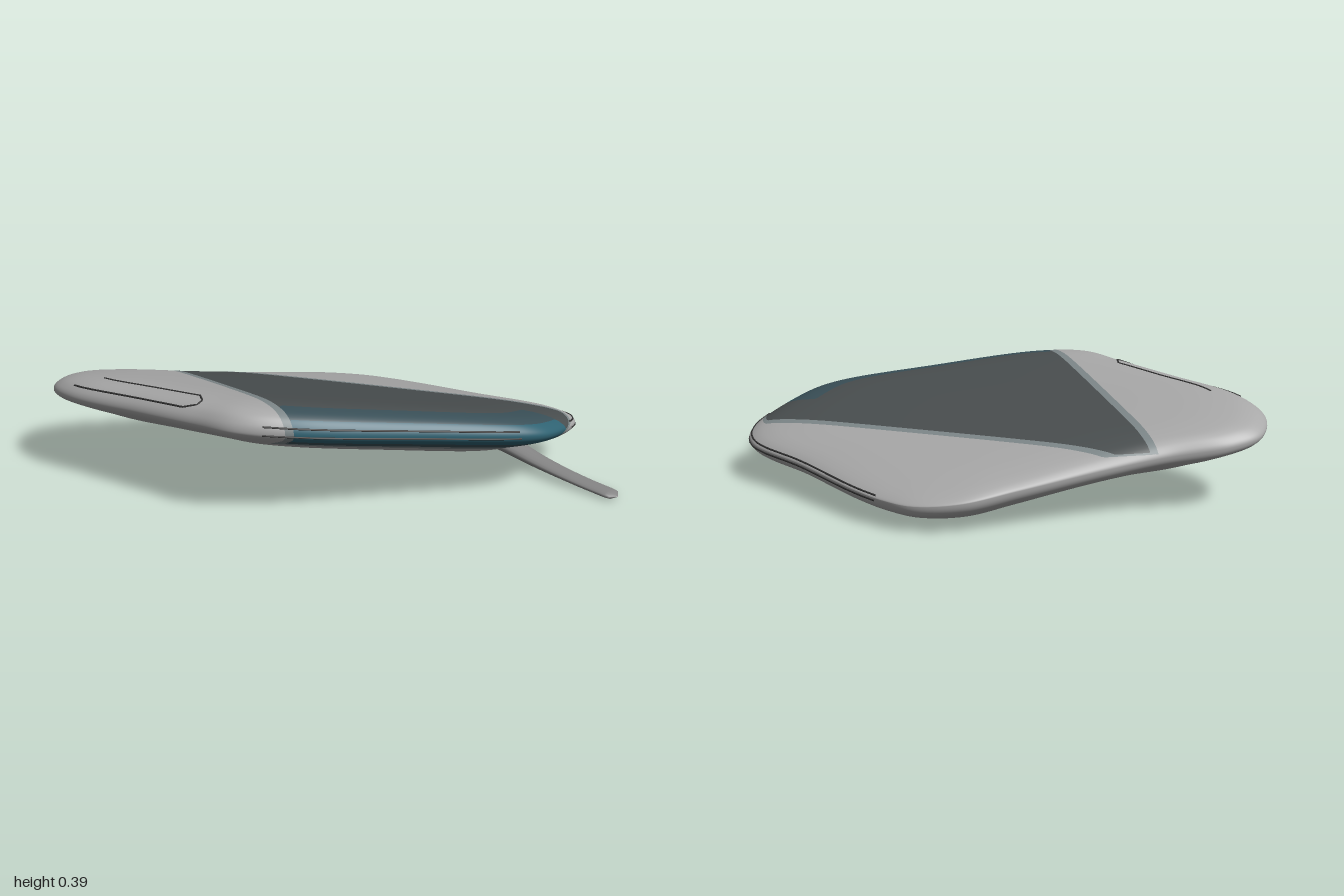
import * as THREE from 'three';

const V3 = (x, y, z) => new THREE.Vector3(x, y, z);
const mat = (color) => new THREE.MeshStandardMaterial({ color });

// Rounded diamond outline (x, z), running left end -> front -> right end -> back
const outline = new THREE.CatmullRomCurve3([
  [-1, 0.11], [-0.985, 0.24], [-0.89, 0.335], [-0.64, 0.43], [-0.395, 0.52], [-0.23, 0.577],
  [-0.03, 0.545], [0.35, 0.36], [0.7, 0.16], [0.765, 0.06], [0.81, -0.18], [0.75, -0.285],
  [0.49, -0.395], [0.22, -0.52], [0.09, -0.565], [-0.03, -0.582], [-0.18, -0.535],
  [-0.33, -0.415], [-0.57, -0.215], [-0.74, -0.09], [-0.93, 0.02],
].map(([x, z]) => V3(x, 0, z)), true, 'centripetal');
outline.arcLengthDivisions = 800;

// Cross-section from the top centre over the rim to the bottom centre:
// (scale of the outline, share of the top or bottom bulge)
const profile = new THREE.SplineCurve([
  [0, 1], [0.4, 1], [0.7, 0.96], [0.86, 0.8], [0.94, 0.58], [0.985, 0.28], [1, 0],
  [0.985, -0.2], [0.94, -0.36], [0.85, -0.57], [0.7, -0.85], [0.4, -1], [0, -1],
].map(([s, h]) => new THREE.Vector2(s, h)));

// Point on the shell for a rim point and a profile point
function shellPoint(rim, p) {
  const x = -0.08 + (rim.x + 0.08) * p.x;
  const z = rim.z * p.x;
  const bulge = p.y > 0 ? 0.066 + 0.068 * z : 0.115 - 0.06 * z;
  return V3(x, 0.215 - 0.025 * x + 0.2 * z + p.y * bulge, z);
}

// Colour zones, tried in order; each covers the faces where its field is positive
function panelField(p, v) {
  const back = v.z + 0.17 - 0.25 * Math.max(0, 0.6 - p.y);
  const left = 0.7 * (1.02 * (v.x + 0.65) - v.z - 0.08);
  return Math.min(back, left, 0.2 * (p.y + 0.5));
}
const edgeField = (p, v, s) => Math.min(p.x - s, v.x + 0.1, v.z + 0.02, panelField(p, v));
const zones = [
  { name: 'trim', color: 0x2f6272, field: (p, v) => edgeField(p, v, 0.955) },
  { name: 'innerTrim', color: 0x3a5058, field: (p, v) => edgeField(p, v, 0.82) },
  { name: 'panel', color: 0x494e4f, field: panelField },
  { name: 'panelBorder', color: 0x7d8789, field: (p, v) => panelField(p, v) + 0.025 },
  { name: 'shell', color: 0xa8a8a8, field: () => 1 },
];

// Cut a polygon where a zone's field is zero; returns the positive or negative side
function cut(poly, k, sign) {
  const out = [];
  poly.forEach((a, i) => {
    const b = poly[(i + 1) % poly.length];
    const fa = a.f[k] * sign, fb = b.f[k] * sign;
    if (fa >= 0) out.push(a);
    if (fa * fb < 0) {
      const t = fa / (fa - fb);
      out.push({
        v: a.v.clone().lerp(b.v, t),
        n: a.n.clone().lerp(b.n, t).normalize(),
        f: a.f.map((f, m) => THREE.MathUtils.lerp(f, b.f[m], t)),
      });
    }
  });
  return out;
}

function buildBody() {
  const group = new THREE.Group();
  group.name = 'body';
  const around = 200, rows = 84;
  const rims = outline.getSpacedPoints(around).slice(0, around);
  const verts = [], index = [];
  for (let j = 0; j <= rows; j++) {
    const p = profile.getPoint(j / rows);
    for (const rim of rims) {
      const v = shellPoint(rim, p);
      verts.push({ v, f: zones.map((zone) => zone.field(p, v)) });
    }
  }
  for (let j = 0; j < rows; j++) {
    for (let i = 0; i < around; i++) {
      const a = j * around + i, d = j * around + (i + 1) % around;
      index.push(a, a + around, d + around, a, d + around, d);
    }
  }
  // Shared normals keep the surface smooth across the colour zones
  const base = new THREE.BufferGeometry().setFromPoints(verts.map((q) => q.v));
  base.setIndex(index);
  base.computeVertexNormals();
  verts.forEach((q, i) => { q.n = V3().fromBufferAttribute(base.attributes.normal, i); });

  const sets = zones.map(() => ({ pos: [], nor: [] }));
  for (let i = 0; i < index.length; i += 3) {
    let rest = [verts[index[i]], verts[index[i + 1]], verts[index[i + 2]]];
    for (let k = 0; k < zones.length && rest.length > 2; k++) {
      const inside = cut(rest, k, 1);
      for (let m = 1; m < inside.length - 1; m++) {
        for (const q of [inside[0], inside[m], inside[m + 1]]) {
          sets[k].pos.push(q.v.x, q.v.y, q.v.z);
          sets[k].nor.push(q.n.x, q.n.y, q.n.z);
        }
      }
      rest = cut(rest, k, -1);
    }
  }
  zones.forEach(({ name, color }, k) => {
    const geo = new THREE.BufferGeometry();
    geo.setAttribute('position', new THREE.Float32BufferAttribute(sets[k].pos, 3));
    geo.setAttribute('normal', new THREE.Float32BufferAttribute(sets[k].nor, 3));
    const mesh = new THREE.Mesh(geo, mat(color));
    mesh.name = name;
    group.add(mesh);
  });
  return group;
}

// Thin seam on the shell through (place on outline, place on profile) pairs
function seam(stops) {
  const pts = [];
  for (let i = 0; i < stops.length - 1; i++) {
    for (let k = i ? 1 : 0; k <= 12; k++) {
      const [u, t] = stops[i].map((s, m) => THREE.MathUtils.lerp(s, stops[i + 1][m], k / 12));
      pts.push(shellPoint(outline.getPointAt(u), profile.getPoint(t)));
    }
  }
  const geo = new THREE.TubeGeometry(new THREE.CatmullRomCurve3(pts), 100, 0.0035, 6);
  const mesh = new THREE.Mesh(geo, mat(0x333333));
  mesh.name = 'seam';
  return mesh;
}

// Flattened, tapering tail with a rounded tip
function buildTail() {
  const path = new THREE.CatmullRomCurve3([
    V3(0.36, 0.11, -0.27), V3(0.54, 0.075, -0.16), V3(0.7, 0.045, -0.055),
    V3(0.85, 0.026, 0.035), V3(0.99, 0.014, 0.112),
  ]);
  const steps = 40, sides = 16, points = [], index = [];
  for (let i = 0; i <= steps; i++) {
    const f = i / steps;
    const c = path.getPointAt(f), d = path.getTangentAt(f);
    const side = V3(-d.z, 0, d.x).normalize();
    const up = side.clone().cross(d).normalize();
    const tip = f > 0.95 ? Math.sqrt(Math.max(0, 1 - ((f - 0.95) / 0.05) ** 2)) : 1;
    const w = (0.034 + 0.05 * (1 - f) ** 3) * tip;
    const h = (0.012 + 0.035 * (1 - f) ** 2) * tip;
    for (let k = 0; k < sides; k++) {
      const a = (k / sides) * Math.PI * 2;
      points.push(c.clone().addScaledVector(side, Math.cos(a) * w).addScaledVector(up, Math.sin(a) * h));
      if (i === steps) continue;
      const p = i * sides + k, q = i * sides + (k + 1) % sides;
      index.push(p, q, p + sides, q, q + sides, p + sides);
    }
  }
  const geo = new THREE.BufferGeometry().setFromPoints(points);
  geo.setIndex(index);
  geo.computeVertexNormals();
  const material = mat(0x858585);
  material.side = THREE.DoubleSide;
  const mesh = new THREE.Mesh(geo, material);
  mesh.name = 'tail';
  return mesh;
}

export function createModel() {
  const model = new THREE.Group();
  model.name = 'model';
  model.add(buildBody(), buildTail());
  // Slot with a rounded closed end on the front-left bevel
  model.add(seam([[0.055, 0.24], [0.165, 0.24], [0.175, 0.28], [0.175, 0.33], [0.165, 0.37], [0.055, 0.37]]));
  // Paired seams along the front-right and back-right rims
  for (const [u0, u1] of [[0.235, 0.43], [0.5, 0.7]]) {
    for (const t of [0.43, 0.52]) model.add(seam([[u0, t], [u1, t]]));
  }
  return model;
}
